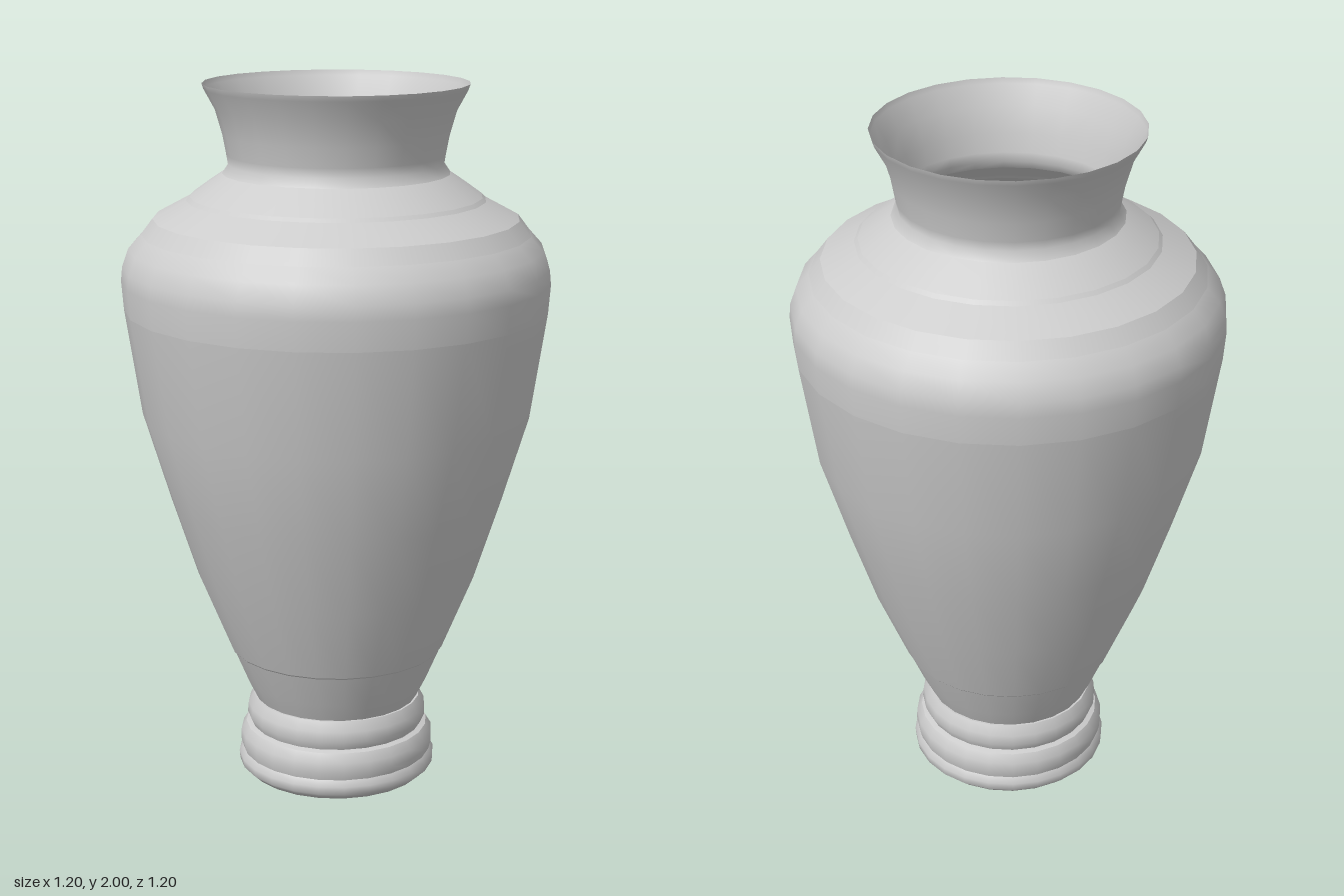
import * as THREE from 'three';

const SIDES = 24;

// Bands of the thin-walled vase, bottom to top: [radius, height].
// Each band is smooth; neighbouring bands meet at a crisp edge.
const BANDS = {
  footRim: [[0.272, 0.01], [0.285, 0.022], [0.287, 0.045], [0.275, 0.062]],
  footLowerRing: [[0.275, 0.062], [0.281, 0.085], [0.28, 0.115], [0.265, 0.14]],
  footUpperRing: [[0.25, 0.145], [0.261, 0.17], [0.258, 0.2], [0.243, 0.228]],
  waist: [[0.237, 0.228], [0.265, 0.285], [0.305, 0.38]],
  body: [[0.31, 0.385], [0.398, 0.6], [0.472, 0.83], [0.547, 1.08], [0.592, 1.38]],
  shoulder: [[0.592, 1.38], [0.598, 1.46], [0.594, 1.5], [0.576, 1.55], [0.54, 1.59]],
  shoulderStep: [[0.54, 1.59], [0.508, 1.632]],
  upperSlope: [[0.508, 1.632], [0.415, 1.682]],
  collar: [[0.405, 1.692], [0.355, 1.728], [0.315, 1.755]],
  neckRing: [[0.315, 1.755], [0.298, 1.78], [0.302, 1.805]],
  neck: [[0.302, 1.805], [0.312, 1.86], [0.332, 1.93], [0.362, 1.985], [0.367, 2]],
};

export function createModel() {
  const vase = new THREE.Group();
  vase.name = 'vase';
  const clay = new THREE.MeshStandardMaterial({ color: 0xcccccc, side: THREE.DoubleSide });
  clay.name = 'pale grey';

  const addBand = (name, profile) => {
    const points = profile.map(([r, y]) => new THREE.Vector2(r, y));
    const mesh = new THREE.Mesh(new THREE.LatheGeometry(points, SIDES), clay);
    mesh.name = name;
    vase.add(mesh);
  };

  for (const [name, profile] of Object.entries(BANDS)) addBand(name, profile);

  // Small ledges closing the steps between bands
  addBand('footLedge', [[0.265, 0.14], [0.25, 0.145]]);
  addBand('waistLedge', [[0.243, 0.228], [0.237, 0.228]]);
  addBand('bodyLedge', [[0.305, 0.38], [0.31, 0.385]]);
  addBand('collarLedge', [[0.415, 1.682], [0.405, 1.692]]);

  // Closed underside, also the floor seen through the mouth
  addBand('base', [[0, 0], [0.262, 0], [0.272, 0.01]]);
  return vase;
}
